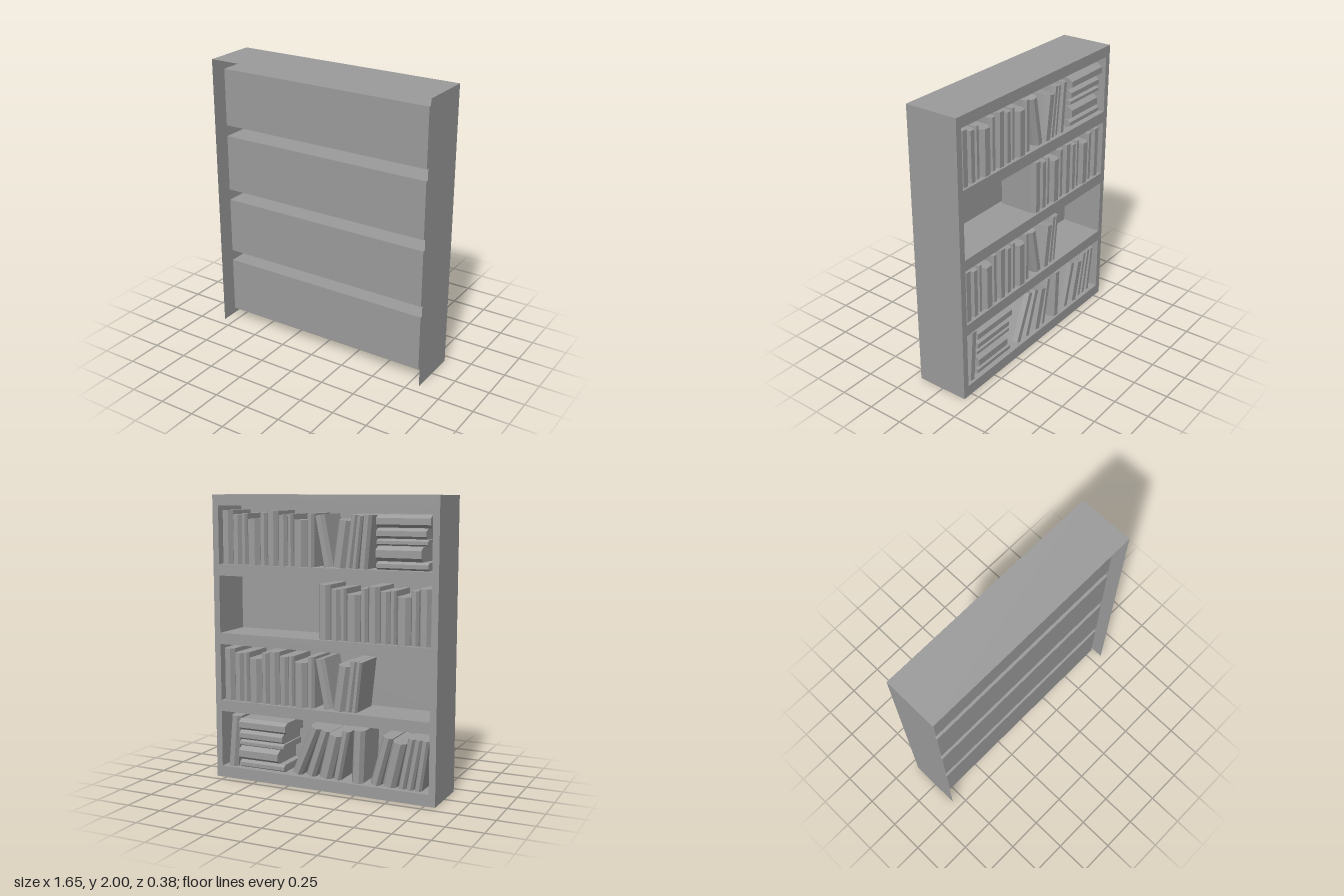
import * as THREE from 'three';

const W = 1.65, H = 2, D = 0.38;             // outer case
const OPEN_W = 1.56, OPEN_H = 0.402;         // shelf openings
const FLOORS = [1.523, 1.042, 0.561, 0.08];  // top row first
const FRONT = -D / 2, BACK = 0.12;           // shelves open towards -z

const mat = new THREE.MeshStandardMaterial({ color: 0x9b9b9b, flatShading: true, side: THREE.DoubleSide });

function add(parent, geo, name, x = 0, y = 0, z = 0) {
  const m = new THREE.Mesh(geo, mat);
  m.name = name;
  m.position.set(x, y, z);
  parent.add(m);
  return m;
}

// Box keeping only its first faces, in the order +x, -x, +y, -y, +z, -z
function openBox(w, h, d, faces) {
  const geo = new THREE.BoxGeometry(w, h, d);
  geo.setIndex(Array.from(geo.index.array).slice(0, faces * 6));
  geo.clearGroups();
  return geo;
}

// Book standing on its base centre, faceted spine towards -z
function bookGeometry(w, h) {
  const back = -0.1, edge = 0.14, tip = edge + 0.01 + w * 0.3;
  const s = new THREE.Shape([
    [-w / 2, back], [w / 2, back], [w / 2, edge], [w / 4, tip], [-w / 4, tip], [-w / 2, edge],
  ].map(([x, y]) => new THREE.Vector2(x, y)));
  return new THREE.ExtrudeGeometry(s, { depth: h, bevelEnabled: false }).rotateX(-Math.PI / 2);
}

// One set of books, each [thickness, height]
const SET = [[0.085, 0.37], [0.07, 0.342], [0.045, 0.35], [0.1, 0.312], [0.055, 0.355]];

// Upright books packed from x towards -x
function uprightRun(row, x, y, books = SET) {
  for (const [w, h] of books) {
    add(row, bookGeometry(w - 0.003, h), 'uprightBook', x - w / 2, y);
    x -= w;
  }
}

// Leaning books, each [base x, width, height, lean in degrees towards -x]
function leaningBooks(row, y, books) {
  for (const [x, w, h, lean] of books) {
    const angle = THREE.MathUtils.degToRad(lean);
    const lift = Math.abs(Math.sin(angle)) * w / 2; // rest on the lower edge
    add(row, bookGeometry(w, h), 'leaningBook', x, y + lift).rotation.z = angle;
  }
}

// The same set lying in a pile, first book on top
function pile(row, x, y) {
  for (const [t, len] of [...SET].reverse()) {
    add(row, bookGeometry(t - 0.003, len), 'lyingBook', x, y + t / 2).rotation.z = Math.PI / 2;
    y += t;
  }
}

export function createModel() {
  const model = new THREE.Group();
  model.name = 'bookcase';

  // Outer skin: two sides and the top, open at the rear and below
  add(model, openBox(W, H, D, 3), 'caseSidesAndTop', 0, H / 2);

  // Face frame with four openings
  const frame = new THREE.Shape([[-W / 2, 0], [W / 2, 0], [W / 2, H], [-W / 2, H]]
    .map(([x, y]) => new THREE.Vector2(x, y)));
  for (const y of FLOORS) {
    const a = OPEN_W / 2, t = y + OPEN_H;
    frame.holes.push(new THREE.Path([[-a, y], [-a, t], [a, t], [a, y]]
      .map(([px, py]) => new THREE.Vector2(px, py))));
  }
  add(model, new THREE.ShapeGeometry(frame), 'faceFrame', 0, 0, FRONT);

  // Shelf compartments
  const depth = BACK - FRONT;
  for (const y of FLOORS) {
    add(model, openBox(OPEN_W, OPEN_H, depth, 5), 'compartment', 0, y + OPEN_H / 2, (BACK + FRONT) / 2);
  }

  // Books, one group per shelf
  const rows = FLOORS.map((_, i) => {
    const g = new THREE.Group();
    g.name = 'bookRow' + (i + 1);
    model.add(g);
    return g;
  });
  const [y1, y2, y3, y4] = FLOORS;
  const tilted = [[-0.04, 0.07, 0.345, -11], [-0.115, 0.09, 0.312, 8], [-0.185, 0.05, 0.35, 7], [-0.23, 0.04, 0.345, 6]];

  // Top row: two upright sets, tilted books, a pile
  uprightRun(rows[0], 0.775, y1);
  uprightRun(rows[0], 0.42, y1);
  leaningBooks(rows[0], y1, [...tilted, [-0.29, 0.06, 0.35, 5]]);
  pile(rows[0], -0.39, y1);

  // Second row: empty on the left, books to the right end
  uprightRun(rows[1], 0.03, y2);
  uprightRun(rows[1], -0.325, y2);
  uprightRun(rows[1], -0.68, y2, [[0.085, 0.37]]);

  // Third row: like the top row, then empty
  uprightRun(rows[2], 0.775, y3);
  uprightRun(rows[2], 0.42, y3);
  leaningBooks(rows[2], y3, tilted);

  // Bottom row: leaning book, pile, loosely leaning books
  leaningBooks(rows[3], y4, [
    [0.715, 0.075, 0.37, 5],
    [0.2, 0.075, 0.365, 23], [0.095, 0.07, 0.345, 19], [-0.015, 0.095, 0.312, 14], [-0.105, 0.055, 0.35, 11],
    [-0.255, 0.085, 0.365, 2],
    [-0.385, 0.07, 0.342, 15], [-0.485, 0.095, 0.312, 13], [-0.575, 0.05, 0.35, 11],
    [-0.63, 0.05, 0.35, 10], [-0.69, 0.05, 0.345, 8],
  ]);
  pile(rows[3], 0.65, y4);

  return model;
}
